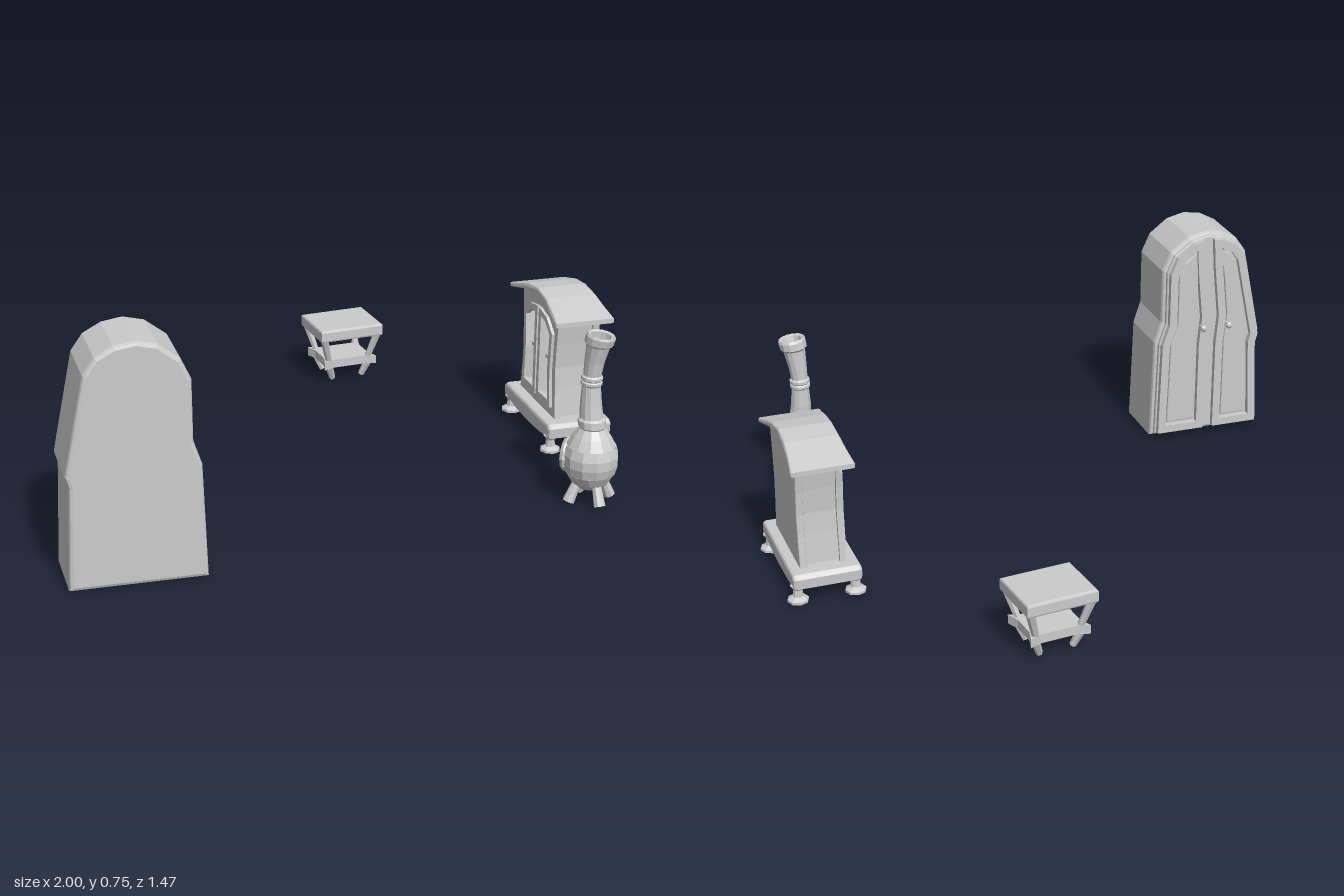
import * as THREE from 'three';

const mat = new THREE.MeshStandardMaterial({ color: 0xcccccc, flatShading: true, side: THREE.DoubleSide });

function add(parent, name, geometry, x = 0, y = 0, z = 0) {
  const m = new THREE.Mesh(geometry, mat);
  m.name = name;
  m.position.set(x, y, z);
  parent.add(m);
  return m;
}

function group(parent, name, x, z, turn = 0) {
  const g = new THREE.Group();
  g.name = name;
  g.position.set(x, 0, z);
  g.rotation.y = turn;
  parent.add(g);
  return g;
}

const toVec = (pts) => pts.map(([x, y]) => new THREE.Vector2(x, y));

// Slab from z0 to z1 with an outline, optional holes and a bevelled rim
function slab(pts, z0, z1, bevel = 0, holes = []) {
  const shape = new THREE.Shape(toVec(pts));
  for (const h of holes) shape.holes.push(new THREE.Path(toVec(h)));
  return new THREE.ExtrudeGeometry(shape, {
    depth: z1 - z0 - 2 * bevel, bevelEnabled: bevel > 0, bevelSize: bevel,
    bevelThickness: bevel, bevelOffset: -bevel, bevelSegments: 2,
  }).translate(0, 0, z0 + bevel);
}

// Move every edge of a counter-clockwise outline inwards by d
function inset(pts, d) {
  return pts.map((p, i) => {
    const a = pts[(i + pts.length - 1) % pts.length], b = pts[(i + 1) % pts.length];
    const normal = (s, e) => {
      const l = Math.hypot(e[0] - s[0], e[1] - s[1]);
      return [-(e[1] - s[1]) / l, (e[0] - s[0]) / l];
    };
    const n = normal(a, p), m = normal(p, b);
    const k = d / (1 + n[0] * m[0] + n[1] * m[1]);
    return [p[0] + (n[0] + m[0]) * k, p[1] + (n[1] + m[1]) * k];
  });
}

// Tapered post between two points
function strut(parent, name, a, b, ra, rb, sides = 8) {
  const A = new THREE.Vector3(...a), B = new THREE.Vector3(...b);
  const d = B.clone().sub(A);
  const m = add(parent, name, new THREE.CylinderGeometry(rb, ra, d.length(), sides));
  m.position.copy(A).add(B).multiplyScalar(0.5);
  m.quaternion.setFromUnitVectors(new THREE.Vector3(0, 1, 0), d.normalize());
}

function buildWardrobe(root) {
  const g = group(root, 'wardrobe', -0.785, 0.57, -0.12);
  const left = [[-0.2, 0], [-0.19, 0.32], [-0.2, 0.355], [-0.14, 0.66], [-0.105, 0.71], [-0.05, 0.74]];
  const right = [[0.21, 0], [0.197, 0.355], [0.172, 0.43], [0.17, 0.62], [0.14, 0.685], [0.075, 0.735]];
  const top = [0.012, 0.75];
  const seam = [[0.002, 0], [-0.002, 0.34], [-0.012, 0.44], [0.005, 0.62]];
  const leftDown = [...left].reverse(), seamDown = [...seam].reverse();
  const outline = [...right, top, ...leftDown];

  add(g, 'wardrobeBody', slab(outline, -0.095, 0.128, 0.012));
  add(g, 'doorSurround', slab(inset(outline, 0.012), -0.108, -0.09, 0.005));

  // Pair of arched doors, each a raised frame round a sunken panel
  for (const [side, half] of [['right', [...seam, top, ...leftDown]], ['left', [...right, top, ...seamDown]]]) {
    const edge = inset(half, 0.018);
    add(g, side + 'DoorFrame', slab(edge, -0.128, -0.105, 0, [inset(half, 0.045)]));
    add(g, side + 'DoorPanel', slab(inset(half, 0.053), -0.118, -0.105, 0.005));
  }
  for (const x of [-0.062, 0.034]) {
    strut(g, 'knobStem', [x, 0.41, -0.12], [x, 0.41, -0.14], 0.006, 0.006);
    add(g, 'doorKnob', new THREE.SphereGeometry(0.012, 8, 6), x, 0.41, -0.146);
  }
}

function buildCabinet(root) {
  const g = group(root, 'archedCabinet', 0.86, 0.095, -Math.PI / 2 - 0.1);
  const half = [[0.158, 0.09], [0.147, 0.2], [0.143, 0.27], [0.148, 0.35], [0.16, 0.45], [0.08, 0.475]];
  const mirror = (pts) => pts.map(([x, y]) => [-x, y]).reverse();
  const outline = [...half, ...mirror(half)];
  const core = inset(outline, 0.011);

  // Openings with arched heads either side of a centre post
  const opening = [[0.018, 0.14], [0.115, 0.14], [0.106, 0.26], [0.115, 0.38], [0.07, 0.415], [0.018, 0.425]];
  const openings = [opening, mirror(opening)];
  add(g, 'backBoard', slab(outline, -0.076, -0.052, 0.004));
  add(g, 'innerWall', slab(core, -0.055, -0.01));
  add(g, 'sideWalls', slab(core, -0.01, 0.055, 0, openings));
  add(g, 'frontBoard', slab(outline, 0.052, 0.07, 0, openings));
  for (const o of openings) add(g, 'doorFrame', slab(inset(o, -0.012), 0.066, 0.08, 0, [inset(o, 0.008)]));
  for (const s of [-1, 1]) add(g, 'shelf', new THREE.BoxGeometry(0.095, 0.012, 0.06), s * 0.066, 0.27, 0.025);

  // Arched roof, deeper towards the eaves
  const eave = [[0.212, 0.438], [0.212, 0.454], [0.15, 0.473], [0.08, 0.494], [0, 0.504]];
  const under = [[0, 0.482], [0.1, 0.466]];
  const roof = slab([...eave, ...mirror(eave.slice(0, 4)), ...mirror(under.slice(1)), ...under], -0.09, 0.09, 0.007);
  const p = roof.attributes.position;
  for (let i = 0; i < p.count; i++) p.setZ(i, p.getZ(i) * (0.95 + 0.18 * (p.getX(i) / 0.21) ** 2));
  roof.computeVertexNormals();
  add(g, 'roof', roof);

  // Plinth with a sagging underside, on four flared feet
  const plinth = [[0, 0.035], [0.11, 0.039], [0.208, 0.052], [0.21, 0.085], [0.195, 0.097]];
  add(g, 'plinth', slab([...plinth, ...mirror(plinth.slice(1))], -0.11, 0.11, 0.01));
  const foot = toVec([[0, 0], [0.034, 0], [0.034, 0.008], [0.017, 0.018], [0.015, 0.04], [0.024, 0.055], [0, 0.055]]);
  for (const x of [-0.18, 0.18])
    for (const z of [-0.092, 0.092]) add(g, 'cabinetFoot', new THREE.LatheGeometry(foot, 8), x, 0, z);
}

function buildStool(root) {
  const g = group(root, 'stool', 0.38, -0.64);
  const box = [[-0.116, -0.098], [0.116, -0.098], [0.116, 0.098], [-0.116, 0.098]];
  add(g, 'seat', slab(box, 0.154, 0.198, 0.007).rotateX(-Math.PI / 2));
  const shelf = [[-0.098, -0.082], [-0.06, -0.068], [0.06, -0.068], [0.098, -0.082], [0.084, -0.04], [0.084, 0.04],
    [0.098, 0.082], [0.06, 0.068], [-0.06, 0.068], [-0.098, 0.082], [-0.084, 0.04], [-0.084, -0.04]];
  add(g, 'lowerShelf', slab(shelf, 0.045, 0.075).rotateX(-Math.PI / 2));
  for (const x of [-1, 1])
    for (const z of [-1, 1]) {
      strut(g, 'stoolLeg', [x * 0.1, 0.16, z * 0.084], [x * 0.074, 0.07, z * 0.062], 0.014, 0.011, 6);
      strut(g, 'stoolFoot', [x * 0.074, 0.05, z * 0.062], [x * 0.055, 0, z * 0.047], 0.014, 0.011, 6);
    }
}

function buildChiminea(root) {
  const g = group(root, 'chiminea', 0.69, 0.647);
  const lathe = (pts, start = 0, length = Math.PI * 2, n = 12) => new THREE.LatheGeometry(toVec(pts), n, start, length);
  const mouth = Math.PI * 1.25, gap = Math.PI / 3;

  // Belly in three bands, the middle one open at the fire mouth
  add(g, 'bellyBottom', lathe([[0, 0.045], [0.04, 0.045], [0.062, 0.065], [0.079, 0.095]]));
  add(g, 'bellyMiddle', lathe([[0.079, 0.095], [0.087, 0.125], [0.087, 0.155], [0.078, 0.185]],
    mouth + gap / 2, Math.PI * 2 - gap, 10));
  add(g, 'bellyTop', lathe([[0.078, 0.185], [0.06, 0.217], [0.04, 0.245]]));
  const rim = add(g, 'mouthRim', new THREE.TorusGeometry(0.044, 0.012, 6, 12),
    Math.sin(mouth) * 0.076, 0.14, Math.cos(mouth) * 0.076);
  rim.rotation.y = mouth;

  // Bent chimney with collars and a tilted hollow lip
  const neck = lathe([[0.038, 0.24], [0.044, 0.248], [0.044, 0.27], [0.037, 0.276], [0.034, 0.32], [0.029, 0.38],
    [0.034, 0.385], [0.034, 0.393], [0.03, 0.397], [0.034, 0.401], [0.034, 0.41], [0.028, 0.415], [0.031, 0.46],
    [0.037, 0.515], [0.045, 0.522], [0.046, 0.545], [0.042, 0.552], [0.032, 0.548], [0.026, 0.5], [0.02, 0.4], [0.022, 0.25]]);
  const p = neck.attributes.position;
  for (let i = 0; i < p.count; i++) {
    const x = p.getX(i), y = p.getY(i), z = p.getZ(i);
    const t = (y - 0.25) / 0.3, bend = 0.06 * t * t - 0.042 * t;
    p.setXYZ(i, x + bend * 0.6, y - 0.13 * t * t * (x + 0.6 * z), z + bend * 0.6 - 0.006 * Math.sin(Math.PI * t));
  }
  neck.computeVertexNormals();
  add(g, 'chimney', neck);

  // Four splayed legs
  for (let i = 0; i < 4; i++) {
    const c = Math.cos(i * Math.PI / 2), s = Math.sin(i * Math.PI / 2);
    strut(g, 'chimineaLeg', [c * 0.042, 0.07, s * 0.042], [c * 0.072, 0.003, s * 0.072], 0.014, 0.019);
  }
}

export function createModel() {
  const root = new THREE.Group();
  root.name = 'furnitureSet';
  buildWardrobe(root);
  buildCabinet(root);
  buildStool(root);
  buildChiminea(root);
  return root;
}
